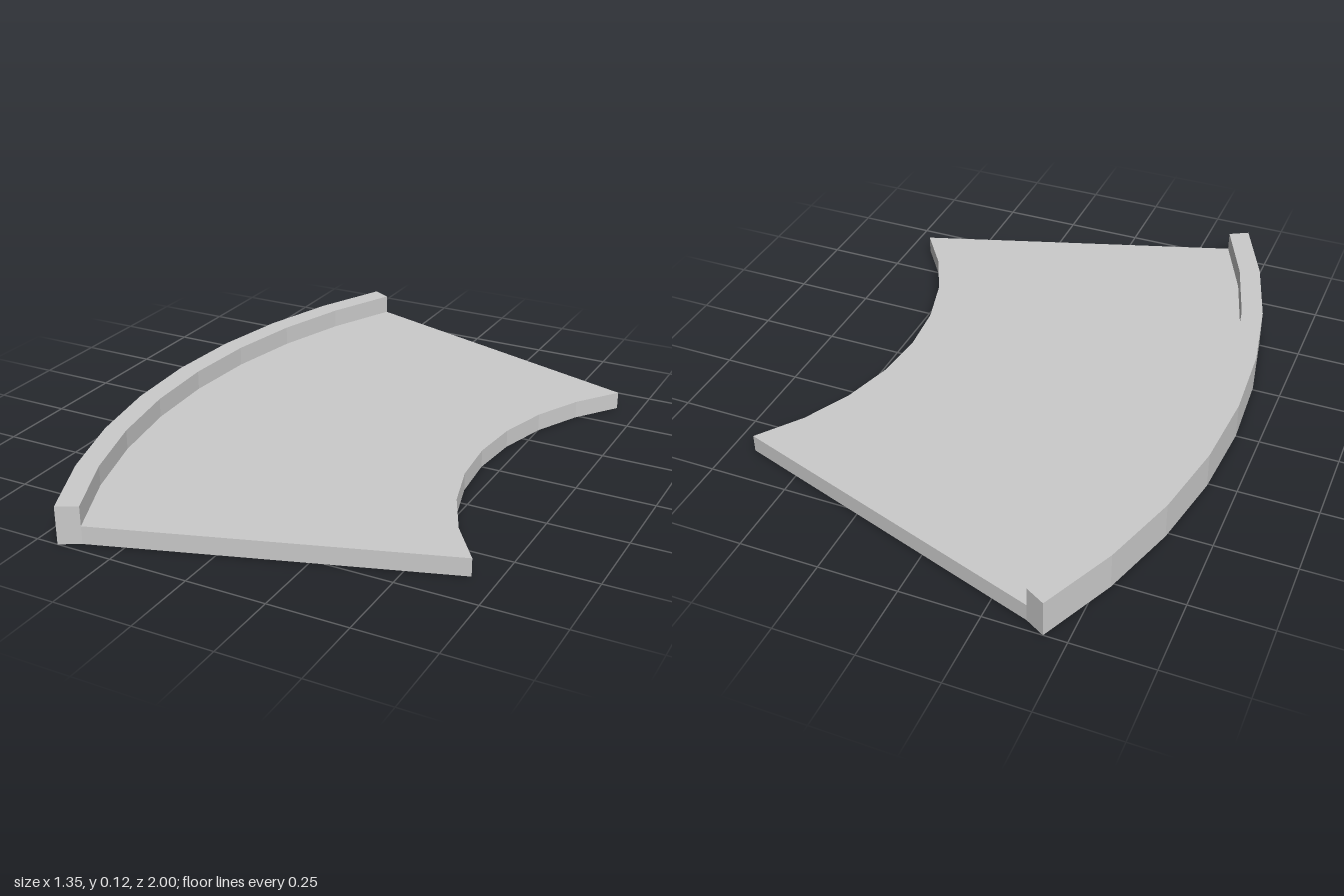
import * as THREE from 'three';

const SEGMENTS = 8;

// Points of a circular arc bulging towards -x, from z = -halfSpan to z = +halfSpan
function arc(centreX, radius, halfSpan) {
  const halfAngle = Math.asin(halfSpan / radius);
  return Array.from({ length: SEGMENTS + 1 }, (_, i) => {
    const a = halfAngle * ((2 * i) / SEGMENTS - 1);
    return new THREE.Vector2(centreX - radius * Math.cos(a), radius * Math.sin(a));
  });
}

// Solid between two arcs, standing on y = 0
function curvedSlab(name, outer, inner, height) {
  const shape = new THREE.Shape([...outer, ...[...inner].reverse()]);
  const geometry = new THREE.ExtrudeGeometry(shape, { depth: height, bevelEnabled: false });
  geometry.rotateX(-Math.PI / 2);
  const material = new THREE.MeshStandardMaterial({ color: 0xcccccc, flatShading: true });
  const mesh = new THREE.Mesh(geometry, material);
  mesh.name = name;
  return mesh;
}

export function createModel() {
  const group = new THREE.Group();
  group.name = 'curvedPlatform';

  const curbOuter = arc(1.485, 2.16, 1);
  const curbInner = arc(1.485, 2.09, 0.966);
  const deckInner = arc(1.388, 0.948, 0.625);

  // Flat deck fanning out to the curb
  group.add(curvedSlab('deck', curbInner, deckInner, 0.057));
  // Raised curb along the long edge
  group.add(curvedSlab('curb', curbOuter, curbInner, 0.12));
  return group;
}
